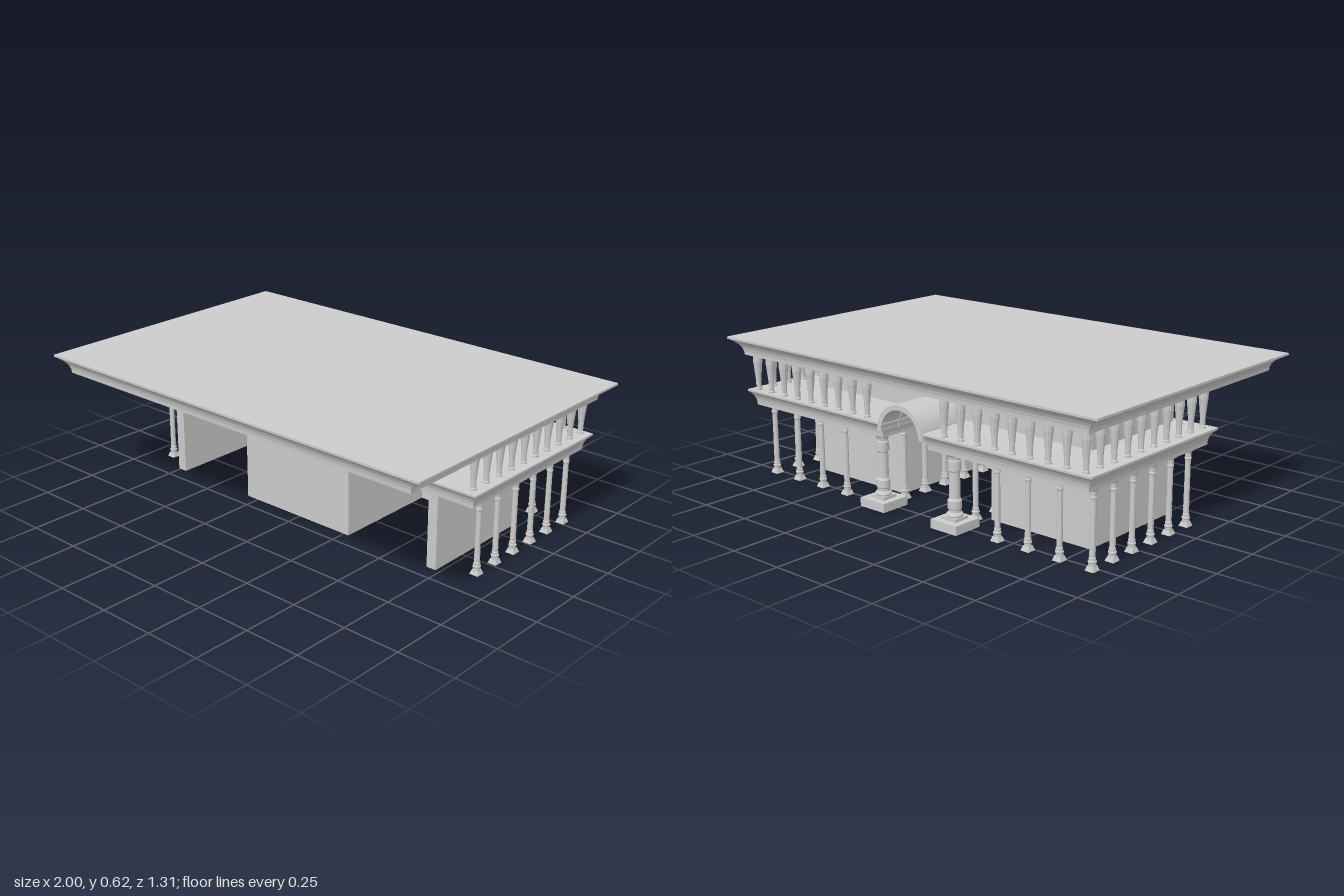
import * as THREE from 'three';

const grey = new THREE.MeshStandardMaterial({ color: 0xcccccc });
const faceted = new THREE.MeshStandardMaterial({ color: 0xcccccc, flatShading: true });

function add(parent, name, geometry, material = grey) {
  const mesh = new THREE.Mesh(geometry, material);
  mesh.name = name;
  parent.add(mesh);
  return mesh;
}

// Box given by its limits on each axis
function block(parent, name, [x0, x1], [y0, y1], [z0, z1]) {
  const mesh = add(parent, name, new THREE.BoxGeometry(x1 - x0, y1 - y0, z1 - z0));
  mesh.position.set((x0 + x1) / 2, (y0 + y1) / 2, (z0 + z1) / 2);
}

// Slab whose four edges follow a cove moulding: [inset fraction, height fraction]
const COVE = [[1, 0], [0.97, 0.2], [0.87, 0.4], [0.68, 0.58], [0.42, 0.73], [0.12, 0.84], [0, 0.88], [0, 1]];
function corniceSlab([x0, x1], [y0, y1], [z0, z1], insetX, insetZ) {
  const pos = [], idx = [];
  for (const [f, h] of COVE) {
    const a = f * insetX, b = f * insetZ, y = y0 + h * (y1 - y0);
    pos.push(x0 + a, y, z1 - b, x1 - a, y, z1 - b, x1 - a, y, z0 + b, x0 + a, y, z0 + b);
  }
  for (let r = 0; r < COVE.length - 1; r++) {
    for (let i = 0; i < 4; i++) {
      const a = r * 4 + i, b = r * 4 + (i + 1) % 4;
      idx.push(a, b, b + 4, a, b + 4, a + 4);
    }
  }
  const t = (COVE.length - 1) * 4;
  idx.push(0, 2, 1, 0, 3, 2, t, t + 1, t + 2, t, t + 2, t + 3);
  const g = new THREE.BufferGeometry();
  g.setAttribute('position', new THREE.Float32BufferAttribute(pos, 3));
  g.setIndex(idx);
  g.computeVertexNormals();
  return g;
}

const turned = (points, sides) =>
  new THREE.LatheGeometry(points.map(([r, y]) => new THREE.Vector2(r, y)), sides);

// Four-sided tapering block, standing on y
function squareTaper(halfTop, halfBottom, height, y) {
  const k = Math.SQRT2;
  return new THREE.CylinderGeometry(halfTop * k, halfBottom * k, height, 4)
    .rotateY(Math.PI / 4).translate(0, y + height / 2, 0);
}

const shaftGeo = turned([[0, 0.015], [0.015, 0.015], [0.015, 0.03], [0.017, 0.033], [0.017, 0.037], [0.014, 0.04],
  [0.014, 0.05], [0.012, 0.053], [0.011, 0.275], [0.014, 0.278], [0.014, 0.285], [0.012, 0.288], [0.013, 0.305],
  [0.017, 0.312], [0.017, 0.315], [0, 0.315]], 12);
const footGeo = squareTaper(0.013, 0.02, 0.02, 0);
const capGeo = squareTaper(0.019, 0.017, 0.01, 0.312);

function column(x, z) {
  const g = new THREE.Group();
  g.name = 'column';
  add(g, 'shaft', shaftGeo, faceted);
  add(g, 'foot', footGeo, faceted);
  add(g, 'capital', capGeo, faceted);
  g.position.set(x, 0, z);
  return g;
}

const bigShaftGeo = turned([[0, 0.05], [0.034, 0.05], [0.036, 0.056], [0.033, 0.063], [0.026, 0.068], [0.026, 0.08],
  [0.029, 0.084], [0.029, 0.116], [0.026, 0.12], [0.023, 0.125], [0.022, 0.235], [0.027, 0.24], [0.027, 0.28],
  [0.023, 0.284], [0.025, 0.298], [0.034, 0.308], [0.034, 0.312], [0, 0.312]], 16);

function porticoColumn(x, z) {
  const g = new THREE.Group();
  g.name = 'porticoColumn';
  block(g, 'plinth', [-0.068, 0.068], [0, 0.038], [-0.068, 0.068]);
  block(g, 'base', [-0.037, 0.037], [0.038, 0.05], [-0.037, 0.037]);
  add(g, 'shaft', bigShaftGeo, faceted);
  block(g, 'capital', [-0.037, 0.037], [0.31, 0.322], [-0.037, 0.037]);
  g.position.set(x, 0, z);
  return g;
}

// Short tapering gallery post, wider at the top
const postGeo = turned([[0, 0], [0.014, 0], [0.014, 0.008], [0.011, 0.012], [0.012, 0.05], [0.018, 0.11],
  [0.02, 0.125], [0.02, 0.155], [0, 0.155]], 10);

export function createModel() {
  const model = new THREE.Group();
  model.name = 'colonnadedHall';
  const CX = -0.012;

  add(model, 'roof', corniceSlab([-1, 1], [0.545, 0.622], [-0.655, 0.655], 0.066, 0.04), faceted);

  // Gallery floor, split by the vaulted passage
  add(model, 'galleryFloorRight', corniceSlab([-0.95, -0.105], [0.322, 0.392], [-0.615, 0.21], 0.03, 0.027), faceted);
  add(model, 'galleryFloorLeft', corniceSlab([0.083, 0.926], [0.322, 0.392], [-0.615, 0.21], 0.03, 0.027), faceted);

  // Outer walls, rising to the roof
  block(model, 'sideWallRight', [-0.76, -0.715], [0, 0.546], [-0.36, 0.18]);
  block(model, 'sideWallLeft', [0.685, 0.73], [0, 0.546], [-0.36, 0.18]);
  // Wing rear walls and the gallery wall above them
  block(model, 'rearWallRight', [-0.715, -0.31], [0, 0.33], [-0.36, -0.315]);
  block(model, 'rearWallLeft', [0.275, 0.685], [0, 0.33], [-0.36, -0.315]);
  for (const [x0, x1] of [[-0.715, CX - 0.115], [CX + 0.115, 0.685]])
    block(model, 'galleryWall', [x0, x1], [0.385, 0.546], [-0.36, -0.315]);
  block(model, 'galleryWallOverVault', [CX - 0.115, CX + 0.115], [0.47, 0.546], [-0.36, -0.315]);
  // Central hall, open to the rear
  block(model, 'hallWallRight', [-0.31, -0.265], [0, 0.33], [-0.36, 0.18]);
  block(model, 'hallWallLeft', [0.23, 0.275], [0, 0.33], [-0.36, 0.18]);
  block(model, 'hallFrontWall', [-0.265, 0.232], [0, 0.483], [0.135, 0.18]);

  // Barrel vault through the whole depth
  const ring = new THREE.Shape();
  ring.absarc(0, 0, 0.125, 0, Math.PI, false);
  ring.absarc(0, 0, 0.104, Math.PI, 0, true);
  const vault = add(model, 'barrelVault',
    new THREE.ExtrudeGeometry(ring, { depth: 0.82, bevelEnabled: false, curveSegments: 20 }));
  vault.position.set(CX, 0.36, -0.62);
  // Ribs under the vault
  for (let i = 0; i < 6; i++) {
    const rib = add(model, 'vaultRib', new THREE.TorusGeometry(0.104, 0.004, 6, 20, Math.PI));
    rib.position.set(CX, 0.36, -0.52 + i * 0.123);
  }

  // Side colonnades and the two rows inside the hall
  for (let i = 0; i < 6; i++) {
    const z = -0.52 + i * 0.123;
    model.add(column(-0.89, z), column(0.866, z));
    if (i > 0) model.add(column(CX - 0.2, z), column(CX + 0.2, z));
  }
  // Rear colonnade
  for (let i = 1; i < 4; i++)
    model.add(column(-0.89 + i * 0.152, -0.52), column(0.866 - i * 0.152, -0.52));
  model.add(porticoColumn(CX - 0.2, -0.52), porticoColumn(CX + 0.2, -0.52));

  // Gallery posts along the sides and rear
  const post = (x, z) => add(model, 'galleryPost', postGeo, faceted).position.set(x, 0.391, z);
  for (let i = 0; i < 10; i++) {
    post(-0.905, -0.588 + i * 0.0837);
    post(0.882, -0.588 + i * 0.0837);
  }
  for (let i = 1; i < 21; i++) {
    const x = -0.905 + i * 1.787 / 21;
    if (Math.abs(x - CX) > 0.14) post(x, -0.588);
  }
  return model;
}
